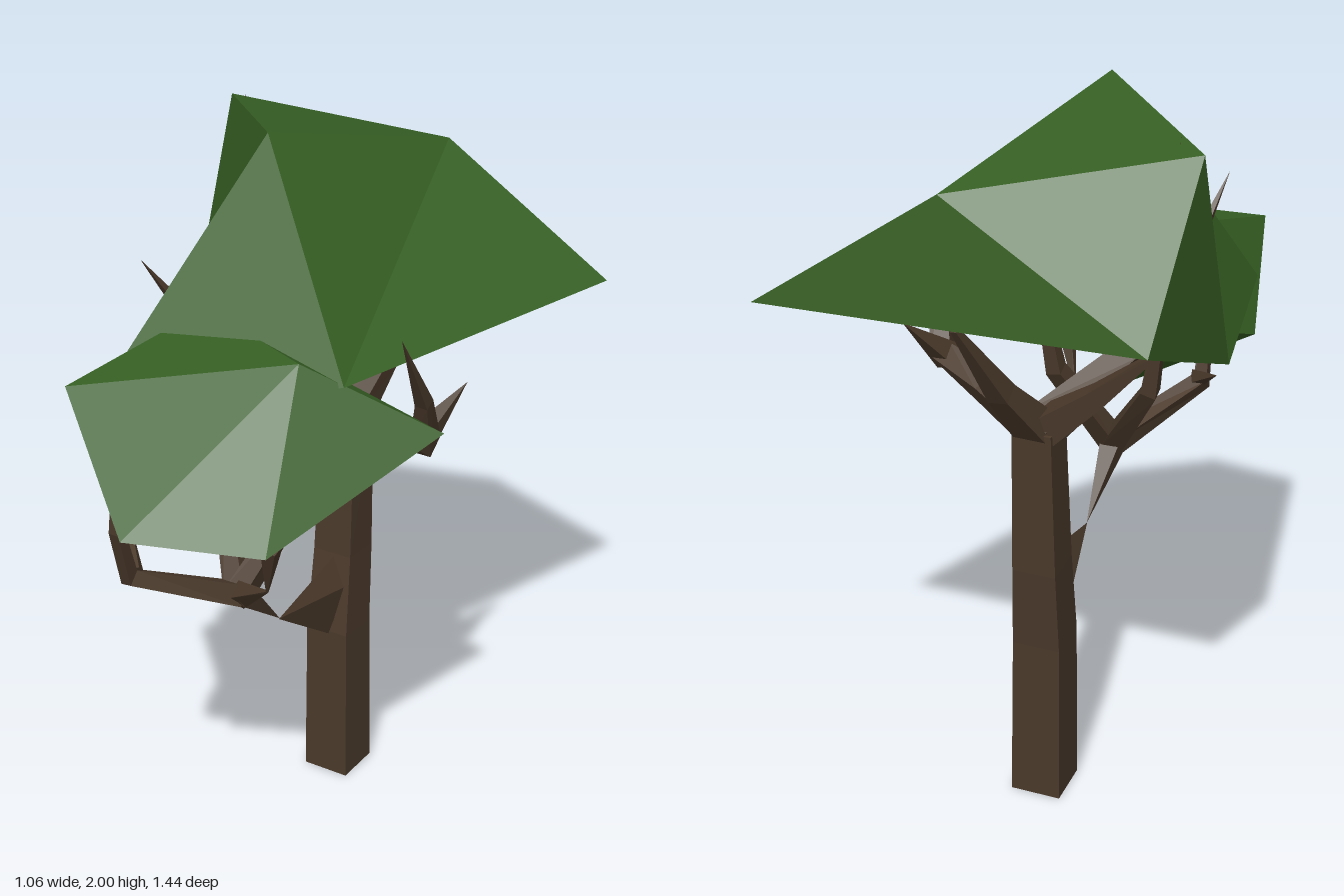
import * as THREE from 'three';
import { ConvexGeometry } from 'three/addons/geometries/ConvexGeometry.js';

const leaf = new THREE.MeshStandardMaterial({ color: 0x365f23, flatShading: true });
leaf.name = 'leaf green';
const bark = new THREE.MeshStandardMaterial({ color: 0x4a392a, flatShading: true });
bark.name = 'bark brown';

const vec = (p) => new THREE.Vector3(p[0], p[1], p[2]);

function fromTriangles(corners) {
  const g = new THREE.BufferGeometry().setFromPoints(corners);
  g.computeVertexNormals();
  return g;
}

// Four-sided limb through [x, y, z, half width] stations
function limbGeometry(stations) {
  const pts = stations.map(vec);
  const ref = new THREE.Vector3(1, 0, 0);
  const rings = pts.map((p, i) => {
    const t = pts[Math.min(i + 1, pts.length - 1)].clone().sub(pts[Math.max(i - 1, 0)]).normalize();
    const u = new THREE.Vector3().crossVectors(ref, t).normalize();
    const v = new THREE.Vector3().crossVectors(t, u);
    const r = stations[i][3];
    return [[1, 1], [-1, 1], [-1, -1], [1, -1]].map(([a, b]) =>
      p.clone().addScaledVector(u, a * r).addScaledVector(v, b * r));
  });
  const out = [];
  const quad = (a, b, c, d) => out.push(a, b, c, a, c, d);
  for (let i = 0; i < rings.length - 1; i++) {
    for (let k = 0; k < 4; k++) {
      const n = (k + 1) % 4;
      quad(rings[i][k], rings[i][n], rings[i + 1][n], rings[i + 1][k]);
    }
  }
  const s = rings[0], e = rings[rings.length - 1];
  quad(s[3], s[2], s[1], s[0]);
  quad(e[0], e[1], e[2], e[3]);
  return fromTriangles(out);
}

// Faceted clump: named corners joined by triangles, each turned to face away from the middle
function clumpGeometry(corners, faces) {
  const all = Object.values(corners).map(vec);
  const middle = all.reduce((sum, p) => sum.add(p), new THREE.Vector3()).divideScalar(all.length);
  const out = [];
  for (const face of faces.split(' ')) {
    const [a, b, c] = [...face].map((key) => vec(corners[key]));
    const tri = new THREE.Triangle(a, b, c);
    const outward = tri.getNormal(new THREE.Vector3()).dot(a.clone().sub(middle)) > 0;
    out.push(a, ...(outward ? [b, c] : [c, b]));
  }
  return fromTriangles(out);
}

export function createModel() {
  const tree = new THREE.Group();
  tree.name = 'tree';
  const add = (name, geometry, material) => {
    const m = new THREE.Mesh(geometry, material);
    m.name = name;
    tree.add(m);
  };
  const limb = (name, ...stations) => add(name, limbGeometry(stations), bark);

  // Trunk
  limb('trunk', [-0.045, 0.001, -0.275, 0.07], [-0.05, 0.48, -0.28, 0.066],
    [-0.055, 0.72, -0.31, 0.06], [-0.055, 1.13, -0.327, 0.053]);

  // Branches from the top of the trunk
  const fork = [-0.055, 1.115, -0.327, 0.045];
  limb('rightBranch', fork, [0.12, 1.165, -0.24, 0.036], [0.28, 1.21, -0.165, 0.033],
    [0.315, 1.36, -0.09, 0.018], [0.335, 1.6, 0.07, 0]);
  limb('rightTwig', [0.26, 1.2, -0.165, 0.033], [0.33, 1.34, -0.3, 0]);
  limb('backBranch', fork, [-0.01, 1.27, -0.46, 0.028], [0.04, 1.5, -0.62, 0.008]);
  limb('backLeftBranch', fork, [-0.22, 1.25, -0.35, 0.026], [-0.4, 1.42, -0.375, 0.006], [-0.44, 1.97, -0.41, 0]);
  limb('leftBranch', fork, [-0.23, 1.27, -0.13, 0.033], [-0.32, 1.45, 0, 0.02], [-0.39, 1.69, 0.16, 0]);

  // Low bough: wedge narrowing to a point, then opening into a fork
  add('boughWedge', new ConvexGeometry([[-0.11, 0.6, -0.24], [-0.04, 0.48, -0.208], [-0.005, 0.63, -0.25],
    [-0.05, 0.715, -0.255], [-0.05, 0.655, 0.04]].map(vec)), bark);
  const joint = [-0.06, 0.825, 0.22, 0.03];
  limb('bough', [-0.05, 0.655, 0.035, 0], joint, [-0.06, 0.85, 0.24, 0.026]);
  limb('boughFrontLeft', joint, [-0.24, 0.94, 0.46, 0.022], [-0.235, 1.1, 0.51, 0.015], [-0.235, 1.24, 0.52, 0.002]);
  limb('boughFrontLeftTwig', [-0.23, 0.95, 0.45, 0.02], [-0.32, 1.02, 0.34, 0]);
  limb('boughFrontRight', joint, [0.09, 0.925, 0.31, 0.003], [0.14, 1.1, 0.365, 0.022]);
  limb('boughBackLeft', joint, [-0.22, 1.08, 0.06, 0.022], [-0.26, 1.33, 0.03, 0.012]);
  limb('boughBackRight', joint, [0.05, 1.1, 0.06, 0.022], [0.08, 1.33, 0.03, 0.012]);

  // Foliage
  add('upperCrown', clumpGeometry({
    A: [-0.475, 1.55, -0.72], B: [0.53, 1.53, -0.708], C: [0.05, 1.855, -0.675], D: [-0.155, 2, -0.085],
    E: [-0.51, 1.945, -0.45], F: [-0.53, 1.352, -0.265], G: [-0.43, 1.345, 0.32], H: [0.23, 1.485, 0.17],
  }, 'AEF ACE ACB CED CDH CHB EFD FGD DGH ABF BHF HGF'), leaf);
  add('lowerCrown', clumpGeometry({
    A: [-0.065, 1.22, 0.718], B: [0.24, 1.18, 0.545], C: [0.435, 1.35, 0.02], L: [0.13, 1.545, 0.22],
    P: [-0.4, 1.455, 0.48], M: [-0.25, 1.555, 0.07], Q: [-0.44, 1.19, 0.28], R: [-0.1, 1, 0.27], K: [-0.2, 1.35, -0.15],
  }, 'PAL ABL BCL PLM CML CKM MKQ PMQ PQA AQR ARB BRK BKC QKR'), leaf);

  return tree;
}
